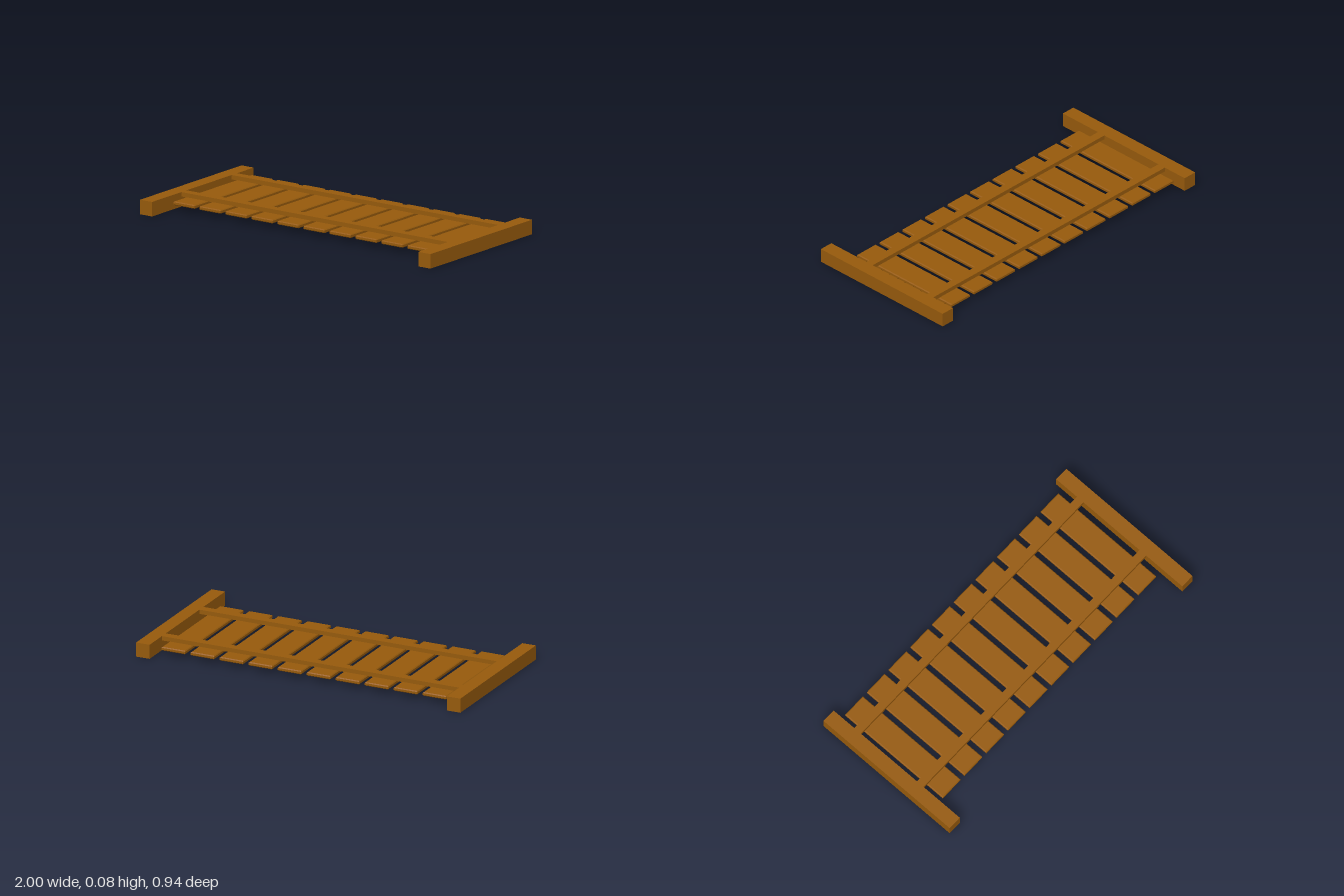
import * as THREE from 'three';

export function createModel() {
  const group = new THREE.Group();
  const wood = new THREE.MeshStandardMaterial({ color: 0x965a0c, flatShading: true });

  const add = (name, geometry, x, y, z) => {
    const mesh = new THREE.Mesh(geometry, wood);
    mesh.name = name;
    mesh.position.set(x, y, z);
    group.add(mesh);
  };

  // Thick end posts
  const post = new THREE.BoxGeometry(0.083, 0.083, 0.94);
  add('leftPost', post, 0.9585, 0.0415, 0);
  add('rightPost', post, -0.9585, 0.0415, 0);

  // Two rails joining the posts, flush with their upper face
  const rail = new THREE.BoxGeometry(1.834, 0.025, 0.049);
  add('upperRail', rail, 0, 0.0705, -0.292);
  add('lowerRail', rail, 0, 0.0705, 0.175);

  // Chamfered slats fixed under the rails
  const width = 0.146, length = 0.728, thickness = 0.022, bevel = 0.005;
  const w = width / 2 - bevel, l = length / 2 - bevel;
  const outline = new THREE.Shape([
    new THREE.Vector2(-w, -l), new THREE.Vector2(w, -l),
    new THREE.Vector2(w, l), new THREE.Vector2(-w, l),
  ]);
  const slat = new THREE.ExtrudeGeometry(outline, {
    depth: thickness - 2 * bevel, bevelSize: bevel, bevelThickness: bevel, bevelSegments: 1,
  });
  slat.rotateX(-Math.PI / 2).center();
  for (let i = 0; i < 10; i++) {
    add(`slat${i + 1}`, slat, -0.8125 + i * 0.179, 0.048, -0.049);
  }

  return group;
}
